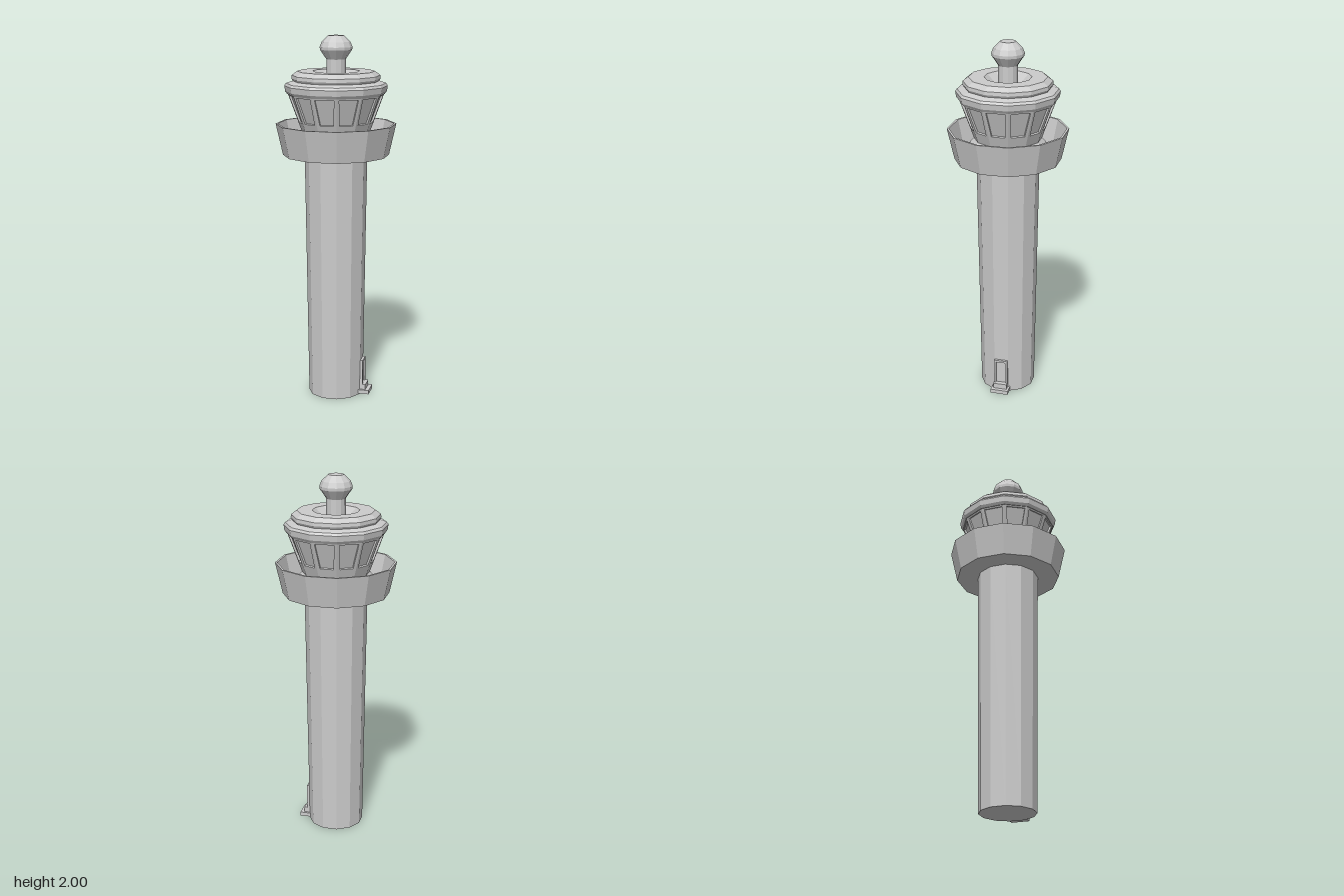
import * as THREE from 'three';

const SIDES = 12;
const START = THREE.MathUtils.degToRad(16.7); // angle of the first corner, shared by all rings
const STEP = (Math.PI * 2) / SIDES;

export function createModel() {
  const tower = new THREE.Group();
  tower.name = 'controlTower';
  const grey = new THREE.MeshStandardMaterial({ color: 0xcccccc, flatShading: true });

  const add = (parent, name, geometry) => {
    const mesh = new THREE.Mesh(geometry, grey);
    mesh.name = name;
    parent.add(mesh);
    return mesh;
  };

  // twelve-sided turned part from [radius, height] points, listed bottom to top
  const ring = (name, profile) => add(tower, name, new THREE.LatheGeometry(
    profile.map(([r, y]) => new THREE.Vector2(r, y)), SIDES, START));

  const box = (parent, name, w, h, d, x, y, z) =>
    add(parent, name, new THREE.BoxGeometry(w, h, d)).position.set(x, y, z);

  // flat panel with a hole, standing on y = 0 and facing +z; half widths bottom/top
  const frameGeometry = (b, t, h, holeB, holeT, y0, y1, depth) => {
    const shape = new THREE.Shape([[-b, 0], [b, 0], [t, h], [-t, h]]
      .map((p) => new THREE.Vector2(...p)));
    shape.holes.push(new THREE.Path([[-holeB, y0], [-holeT, y1], [holeT, y1], [holeB, y0]]
      .map((p) => new THREE.Vector2(...p))));
    return new THREE.ExtrudeGeometry(shape, { depth, bevelEnabled: false }).translate(0, 0, -depth);
  };

  // shaft
  ring('shaft', [[0, 0], [0.152, 0], [0.17, 1.365], [0, 1.365]]);

  // balcony with thin flared parapet
  ring('balcony', [[0, 1.36], [0.288, 1.36], [0.326, 1.53], [0.314, 1.53], [0.279, 1.375], [0, 1.375]]);

  // sloped collar under the cab
  ring('cabCollar', [[0.25, 1.375], [0.2, 1.46], [0.182, 1.48], [0, 1.48]]);

  // cab glass, set back behind the window frames
  ring('cabGlass', [[0, 1.47], [0.166, 1.47], [0.25, 1.7], [0, 1.7]]);

  // leaning window frames, one per side
  const low = { r: 0.18, y: 1.475 }, high = { r: 0.26, y: 1.695 };
  const apothem = Math.cos(STEP / 2), half = Math.sin(STEP / 2);
  const run = (high.r - low.r) * apothem, rise = high.y - low.y;
  const slant = Math.hypot(run, rise);
  const windowFrame = frameGeometry(low.r * half, high.r * half, slant,
    0.036, 0.052, slant * 0.3, slant * 0.94, 0.011);
  for (let i = 0; i < SIDES; i++) {
    const side = new THREE.Group();
    side.name = 'windowSide';
    side.rotation.y = START + (i + 0.5) * STEP;
    const frame = add(side, 'windowFrame', windowFrame);
    frame.position.set(0, low.y, low.r * apothem);
    frame.rotation.x = Math.atan2(run, rise);
    tower.add(side);
  }

  // stepped roof with a sunken middle
  ring('roof', [
    [0, 1.69], [0.262, 1.69], [0.273, 1.705], [0.277, 1.735], [0.268, 1.748], [0.232, 1.76],
    [0.239, 1.772], [0.237, 1.79], [0.208, 1.812], [0.126, 1.812], [0.075, 1.765], [0, 1.765],
  ]);

  // mast and radar dome
  ring('mast', [[0.052, 1.76], [0.052, 1.875]]);
  ring('radarDome', [[0.052, 1.875], [0.086, 1.925], [0.087, 1.94], [0.076, 1.967], [0.042, 2], [0, 2]]);

  // entrance on the left side: frame, recessed door and steps
  const entrance = new THREE.Group();
  entrance.name = 'entrance';
  entrance.rotation.y = Math.PI / 2 + THREE.MathUtils.degToRad(1.7);
  const doorFrame = add(entrance, 'doorFrame',
    frameGeometry(0.038, 0.038, 0.17, 0.027, 0.027, 0.02, 0.158, 0.03));
  doorFrame.position.set(0, 0.03, 0.163);
  box(entrance, 'door', 0.06, 0.145, 0.02, 0, 0.115, 0.144);
  box(entrance, 'upperStep', 0.076, 0.03, 0.05, 0, 0.043, 0.155);
  box(entrance, 'lowerStep', 0.1, 0.022, 0.07, 0, 0.018, 0.166);
  tower.add(entrance);

  return tower;
}
